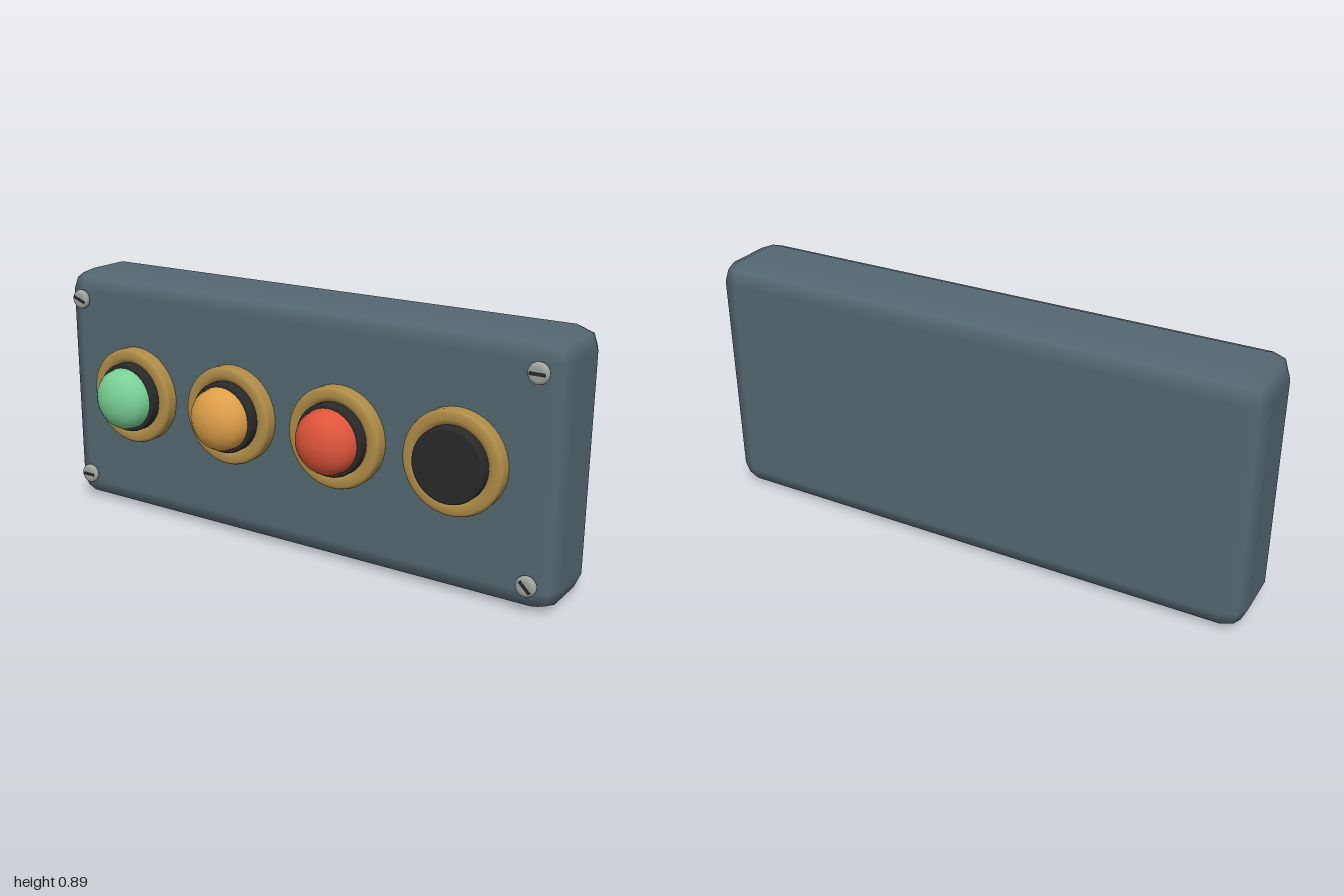
import * as THREE from 'three';
import { RoundedBoxGeometry } from 'three/addons/geometries/RoundedBoxGeometry.js';

function material(name, color) {
  const m = new THREE.MeshStandardMaterial({ color });
  m.name = name;
  return m;
}

// Lathe whose axis points to the front; profile is [radius, depth] from back to front
function turned(profile, sides) {
  const points = profile.map(([r, d]) => new THREE.Vector2(r, d));
  return new THREE.LatheGeometry(points, sides).rotateX(Math.PI / 2);
}

export function createModel() {
  const model = new THREE.Group();
  model.name = 'buttonPanel';

  const steel = material('blue grey steel', 0x546770);
  const brass = material('brass', 0xb08d48);
  const black = material('black rubber', 0x2a2a2a);
  const green = material('green lens', 0x79d094);
  const amber = material('amber lens', 0xdf9f49);
  const red = material('red lens', 0xe0553b);
  const silver = material('screw metal', 0x9ea49e);

  function add(parent, name, geometry, mat, x = 0, y = 0, z = 0) {
    const mesh = new THREE.Mesh(geometry, mat);
    mesh.name = name;
    mesh.position.set(x, y, z);
    parent.add(mesh);
    return mesh;
  }

  // Housing with two-step rounded edges
  const face = 0.075;
  add(model, 'housing', new RoundedBoxGeometry(2, 0.895, 0.31, 1, 0.075), steel, 0, 0.449, -0.08);

  // Buttons: brass bezel, black seat and a domed lens
  const bezel = turned([[0.176, 0], [0.177, 0.036], [0.174, 0.044], [0.165, 0.05],
    [0.145, 0.05], [0.132, 0.046], [0.124, 0.036]], 40);
  const seat = turned([[0.127, 0], [0.127, 0.068], [0.125, 0.073], [0.121, 0.075],
    [0.118, 0.075], [0, 0.075]], 40);
  const domeProfile = [[0.113, 0]];
  for (let i = 1; i <= 6; i++) {
    const a = (i / 6) * Math.PI / 2;
    domeProfile.push([0.113 * Math.cos(a), 0.008 + 0.079 * Math.sin(a)]);
  }
  domeProfile[6][0] = 0;
  const dome = turned(domeProfile, 32);

  [green, amber, red, null].forEach((lens, i) => {
    const button = new THREE.Group();
    button.name = 'button' + (i + 1);
    button.position.set(-0.659 + i * 0.438, 0.467, face);
    add(button, 'bezel', bezel, brass);
    add(button, 'seat', seat, black);
    if (lens) add(button, 'lens', dome, lens, 0, 0, 0.075);
    model.add(button);
  });

  // Corner screws with slots turned at different angles
  const head = turned([[0.03, 0], [0.035, 0.006], [0.036, 0.012], [0.034, 0.019],
    [0.028, 0.024], [0.02, 0.025], [0, 0.025]], 24);
  const slot = new THREE.BoxGeometry(0.052, 0.011, 0.004);
  [[-1, 0.794, -0.36], [1, 0.794, 0], [-1, 0.104, 0], [1, 0.104, -0.78]].forEach(([side, y, turn]) => {
    const screw = new THREE.Group();
    screw.name = 'screw';
    screw.position.set(side * 0.914, y, face);
    screw.rotation.z = turn;
    add(screw, 'screwHead', head, silver);
    add(screw, 'screwSlot', slot, black, 0, 0, 0.0245);
    model.add(screw);
  });

  return model;
}
